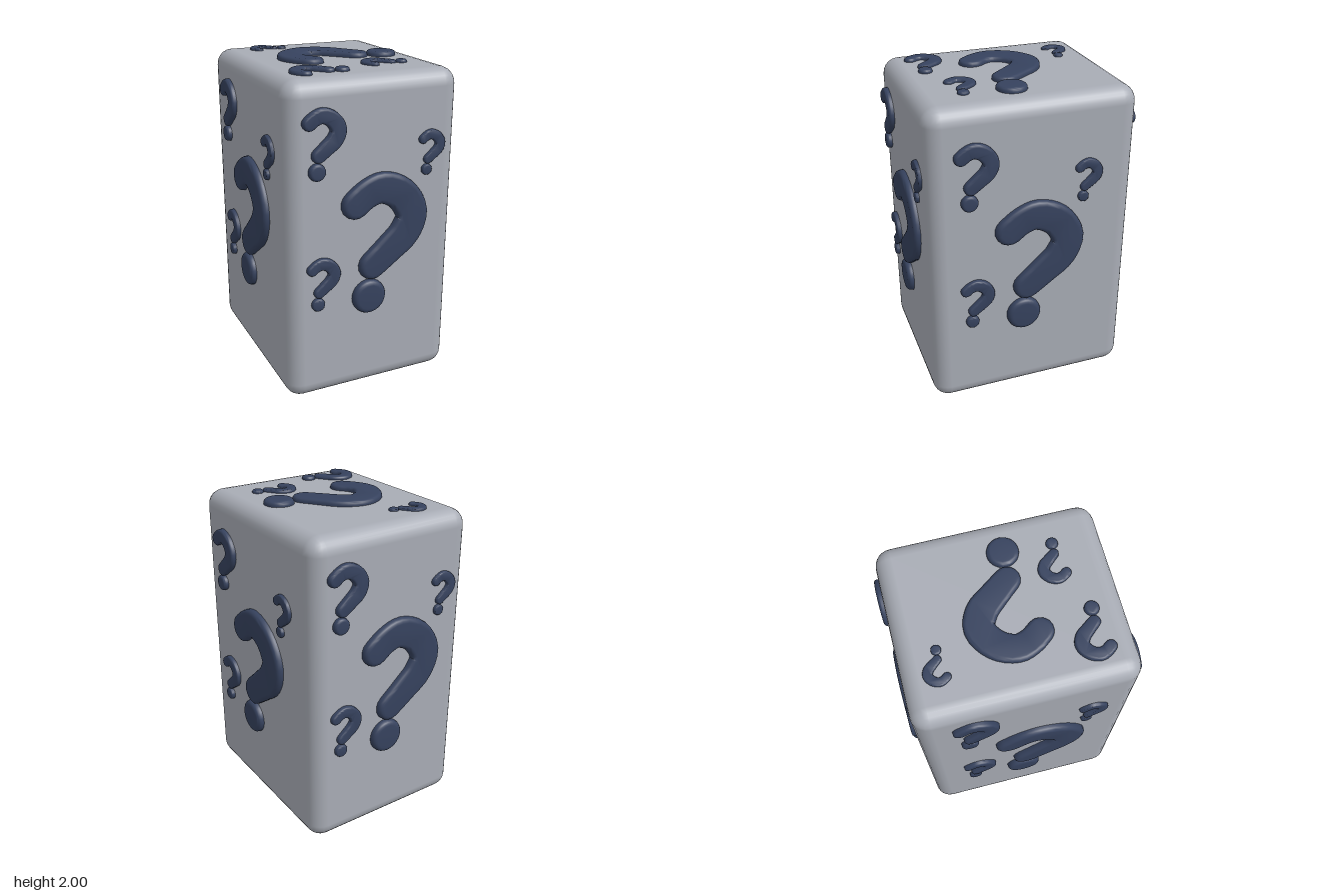
import * as THREE from 'three';
import { toCreasedNormals } from 'three/addons/utils/BufferGeometryUtils.js';
import { RoundedBoxGeometry } from 'three/addons/geometries/RoundedBoxGeometry.js';

const UNIT = 168; // height of the mark in profile units

// Centre line of the hook: x, y, half width
const HOOK = [
  [-36.5, 50.5, 17], [-22.5, 60.5, 17.2], [-4.5, 65.5, 18], [19.5, 55, 19],
  [34, 30.5, 19.5], [26, 8.5, 20], [7.5, -8, 18.5], [-14.5, -25.5, 17],
];

// Stroke of varying width with round ends
function hookShape(size) {
  const k = size / UNIT;
  const curve = new THREE.CatmullRomCurve3(HOOK.map(p => new THREE.Vector3(...p)));
  const n = 28, left = [], right = [];
  const cap = (c, r, from, out) => {
    for (let i = 1; i < 8; i++) {
      const a = from - Math.PI * i / 8;
      out.push(new THREE.Vector2(c.x + r * Math.cos(a), c.y + r * Math.sin(a)).multiplyScalar(k));
    }
  };
  const startCap = [], endCap = [];
  for (let i = 0; i <= n; i++) {
    const p = curve.getPoint(i / n), t = curve.getTangent(i / n);
    const a = Math.atan2(t.y, t.x) + Math.PI / 2;
    const dx = Math.cos(a) * p.z, dy = Math.sin(a) * p.z;
    left.push(new THREE.Vector2(p.x + dx, p.y + dy).multiplyScalar(k));
    right.push(new THREE.Vector2(p.x - dx, p.y - dy).multiplyScalar(k));
    if (i === 0) cap(p, p.z, a - Math.PI, startCap);
    if (i === n) cap(p, p.z, a, endCap);
  }
  return new THREE.Shape([...left, ...endCap, ...right.reverse(), ...startCap]);
}

function dotShape(size) {
  const k = size / UNIT;
  return new THREE.Shape().absarc(-18.5 * k, -63.5 * k, 20.5 * k, 0, Math.PI * 2);
}

// Raised part with a rounded rim, its root sunk into the block
function raised(shape, depth, size) {
  const sink = 0.02, bevel = Math.min(depth * 0.7, size * 0.04);
  const geo = new THREE.ExtrudeGeometry(shape, {
    depth: depth + sink - bevel, bevelThickness: bevel, bevelSize: bevel,
    bevelOffset: -bevel, bevelSegments: 4, curveSegments: 14,
  });
  geo.translate(0, 0, -sink);
  return toCreasedNormals(geo, 0.8);
}

// Marks on one face: across, up, height, relief
const MARKS = [
  ['large', 0.063, 0.968, 0.886, 0.041],
  ['upperLeft', -0.325, 1.616, 0.413, 0.033],
  ['lowerLeft', -0.33, 0.77, 0.333, 0.028],
  ['upperRight', 0.365, 1.49, 0.275, 0.022],
];
const TOP_MARKS = [
  ['large', 0.015, -0.042, 0.75, 0.03],
  ['upperLeft', -0.413, 0.256, 0.349, 0.022],
  ['lowerLeft', -0.318, -0.205, 0.284, 0.018],
  ['upperRight', 0.447, 0.24, 0.236, 0.015],
];

export function createModel() {
  const stone = new THREE.MeshStandardMaterial({ color: 0xa8acb5 });
  stone.name = 'pale grey';
  const navy = new THREE.MeshStandardMaterial({ color: 0x36425e });
  navy.name = 'dark navy';

  const model = new THREE.Group();
  model.name = 'markedBlock';

  // Rounded block
  const block = new THREE.Mesh(new RoundedBoxGeometry(1.096, 1.966, 1.284, 3, 0.1), stone);
  block.name = 'block';
  block.position.y = 0.988;
  model.add(block);

  function face(name, marks, du = 0, dv = 0) {
    const group = new THREE.Group();
    group.name = name;
    for (const [label, u, v, size, depth] of marks) {
      const mark = new THREE.Group();
      mark.name = label + 'Mark';
      mark.position.set(u + du, v + dv, 0);
      for (const [part, shape] of [['hook', hookShape(size)], ['dot', dotShape(size)]]) {
        const mesh = new THREE.Mesh(raised(shape, depth, size), navy);
        mesh.name = part;
        mark.add(mesh);
      }
      group.add(mark);
    }
    model.add(group);
    return group;
  }

  // Four upright faces
  face('frontMarks', MARKS).position.z = 0.642;
  const back = face('backMarks', MARKS);
  back.position.z = -0.642;
  back.rotation.y = Math.PI;
  const leftSide = face('leftMarks', MARKS, -0.031, -0.05);
  leftSide.position.x = 0.548;
  leftSide.rotation.y = Math.PI / 2;
  const rightSide = face('rightMarks', MARKS, 0.017, 0);
  rightSide.position.x = -0.548;
  rightSide.rotation.y = -Math.PI / 2;

  // Top face, with the marks lying toward -x
  const top = face('topMarks', TOP_MARKS);
  top.position.y = 1.971;
  top.quaternion.setFromRotationMatrix(new THREE.Matrix4().makeBasis(
    new THREE.Vector3(0, 0, -1), new THREE.Vector3(-1, 0, 0), new THREE.Vector3(0, 1, 0)));

  return model;
}
